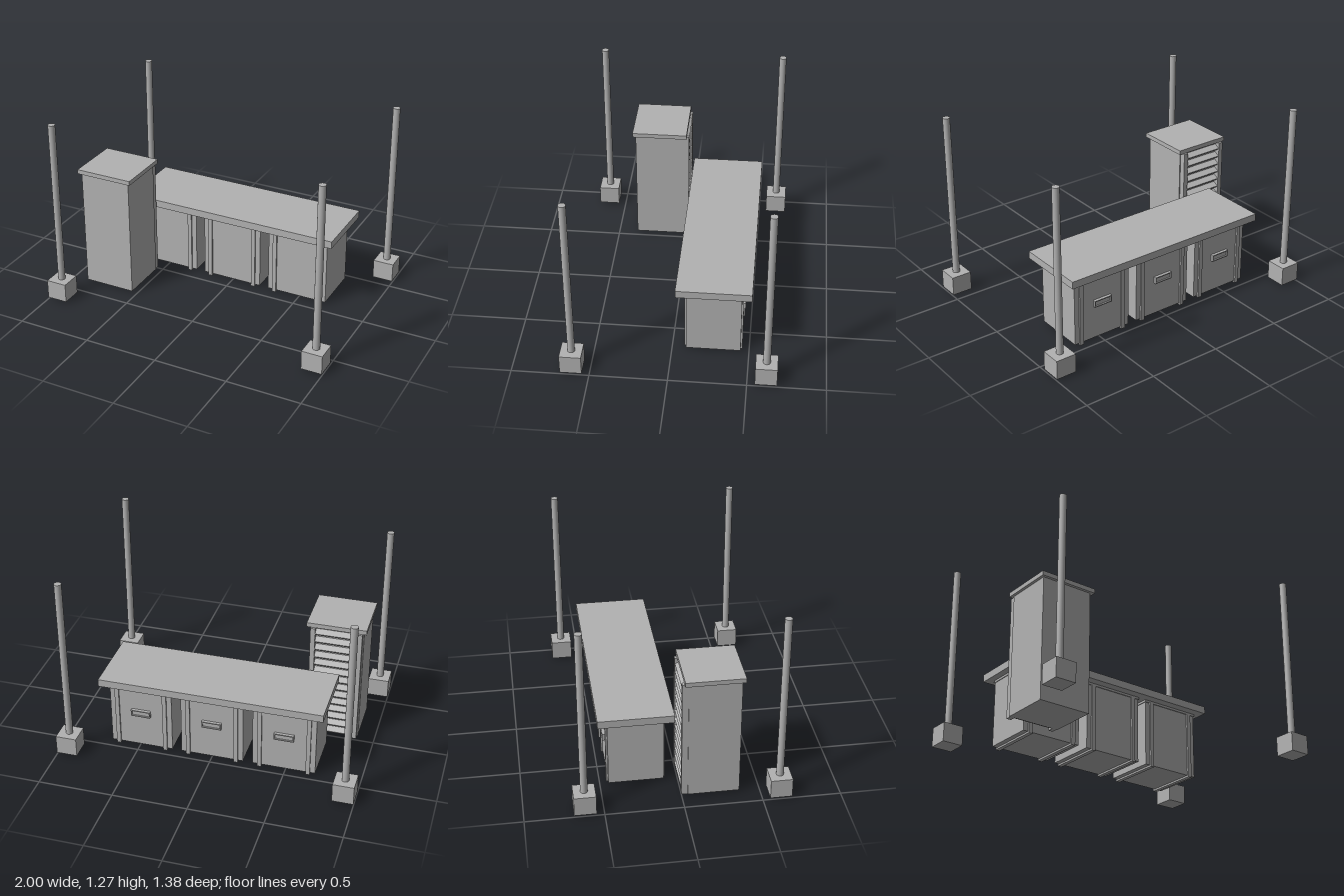
import * as THREE from 'three';

const grey = new THREE.MeshStandardMaterial({ color: 0xb2b2b2 });
grey.name = 'plain grey';

// Box given by its minimum and maximum on each axis
function box(parent, name, [x0, x1], [y0, y1], [z0, z1]) {
  const mesh = new THREE.Mesh(new THREE.BoxGeometry(x1 - x0, y1 - y0, z1 - z0), grey);
  mesh.position.set((x0 + x1) / 2, (y0 + y1) / 2, (z0 + z1) / 2);
  mesh.name = name;
  parent.add(mesh);
  return mesh;
}

// Round pole standing in a square footing
function createPost(x, z) {
  const post = new THREE.Group();
  post.name = 'post';
  box(post, 'footing', [-0.07, 0.07], [0.015, 0.145], [-0.07, 0.07]);
  const pole = new THREE.Mesh(new THREE.CylinderGeometry(0.024, 0.024, 1.13, 16), grey);
  pole.name = 'pole';
  pole.position.y = 0.71;
  post.add(pole);
  post.position.set(x, 0, z);
  return post;
}

// Under-counter bin with straps wrapped round front, bottom and back
function createBin(x) {
  const bin = new THREE.Group();
  bin.name = 'bin';
  box(bin, 'binBody', [-0.211, 0.211], [0.015, 0.476], [-0.445, -0.09]);
  box(bin, 'binRim', [-0.216, 0.216], [0.46, 0.476], [-0.45, -0.084]);
  for (const s of [-1, 1]) {
    const strap = [s * 0.163 - 0.014, s * 0.163 + 0.014];
    box(bin, 'frontStrap', strap, [0.003, 0.46], [-0.09, -0.079]);
    box(bin, 'backStrap', strap, [0.003, 0.46], [-0.456, -0.445]);
    box(bin, 'bottomStrap', strap, [0.003, 0.015], [-0.445, -0.09]);
  }
  // Raised handle with a recessed middle
  box(bin, 'handlePlate', [-0.066, 0.066], [0.247, 0.293], [-0.455, -0.445]);
  for (const s of [-1, 1]) {
    const y = 0.27 + s * 0.0195;
    box(bin, 'handleRail', [-0.066, 0.066], [y - 0.0035, y + 0.0035], [-0.465, -0.455]);
    box(bin, 'handleEnd', [s * 0.0625 - 0.0035, s * 0.0625 + 0.0035], [0.254, 0.286], [-0.465, -0.455]);
  }
  bin.position.x = x;
  return bin;
}

// Tall cabinet with louvres on its back
function createTallCabinet() {
  const cabinet = new THREE.Group();
  cabinet.name = 'tallCabinet';
  box(cabinet, 'cabinetBody', [-0.888, -0.534], [0.015, 0.835], [0.038, 0.368]);
  box(cabinet, 'cabinetTop', [-0.907, -0.512], [0.833, 0.863], [0.013, 0.387]);
  box(cabinet, 'leftStile', [-0.572, -0.54], [0.015, 0.833], [-0.002, 0.038]);
  box(cabinet, 'rightStile', [-0.882, -0.85], [0.015, 0.833], [-0.002, 0.038]);
  const count = 14;
  for (let i = 0; i < count; i++) {
    const y = 0.045 + (i * 0.755) / (count - 1);
    const slat = box(cabinet, 'louvre', [-0.85, -0.572], [y - 0.006, y + 0.006], [0, 0.044]);
    slat.rotation.x = -0.5;
  }
  return cabinet;
}

export function createModel() {
  const model = new THREE.Group();
  model.name = 'kitchenCounterSet';
  for (const x of [-0.93, 0.93]) for (const z of [-0.62, 0.617]) model.add(createPost(x, z));
  const counter = new THREE.Group();
  counter.name = 'counter';
  box(counter, 'countertop', [-0.75, 0.75], [0.475, 0.526], [-0.51, -0.025]);
  for (const x of [-0.488, -0.002, 0.484]) counter.add(createBin(x));
  model.add(counter, createTallCabinet());
  return model;
}
